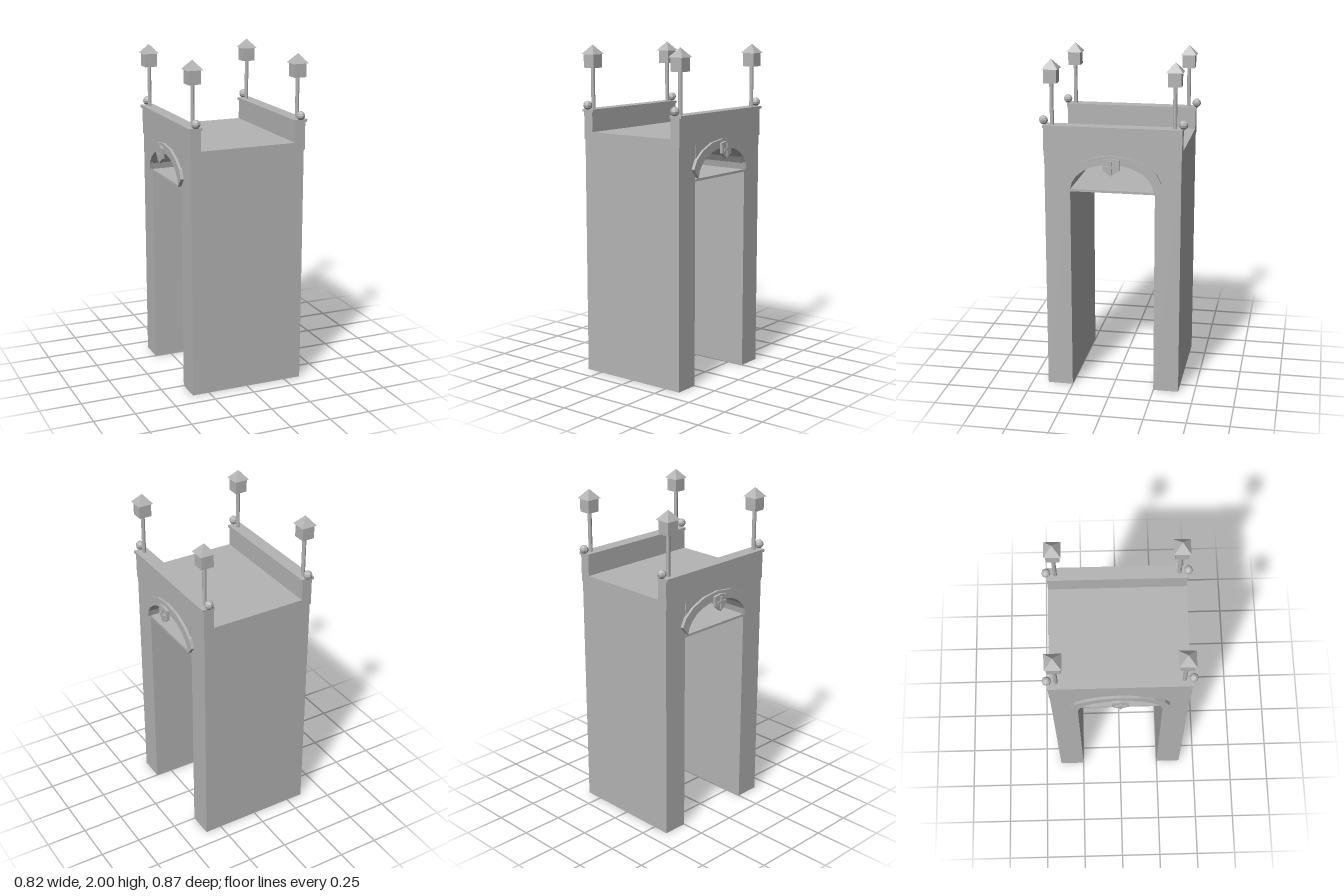
import * as THREE from 'three';

const stone = new THREE.MeshStandardMaterial({ color: 0xb4b4b4, flatShading: true, side: THREE.DoubleSide });
stone.name = 'grey stone';

function add(parent, name, geometry, x = 0, y = 0, z = 0) {
  const mesh = new THREE.Mesh(geometry, stone);
  mesh.name = name;
  mesh.position.set(x, y, z);
  parent.add(mesh);
  return mesh;
}

// Box given by its size and the height of its underside
function addBox(parent, name, w, h, d, x, bottom, z) {
  return add(parent, name, new THREE.BoxGeometry(w, h, d), x, bottom + h / 2, z);
}

// Shape in the (z, y) plane, extruded along x and centred on x = 0
function crossExtrude(points, depth) {
  const shape = new THREE.Shape(points.map(([z, y]) => new THREE.Vector2(z, y)));
  const g = new THREE.ExtrudeGeometry(shape, { depth, bevelEnabled: false });
  g.translate(0, 0, -depth / 2);
  return g.rotateY(Math.PI / 2);
}

// Half-ellipse points running from +z to -z
function arc(a, b, y0, start, n) {
  return Array.from({ length: n + 1 }, (_, i) => {
    const t = start + (Math.PI - 2 * start) * i / n;
    return [a * Math.cos(t), y0 + b * Math.sin(t)];
  });
}

function lamp(x, z) {
  const g = new THREE.Group();
  g.name = 'lampPost';
  add(g, 'post', new THREE.CylinderGeometry(0.012, 0.012, 0.25, 8), 0, 1.743, 0);
  addBox(g, 'lantern', 0.076, 0.082, 0.076, 0, 1.864, 0);
  const roof = new THREE.ConeGeometry(0.048 * Math.SQRT2, 0.056, 4).rotateY(Math.PI / 4);
  add(g, 'lanternRoof', roof, 0, 1.972, 0);
  g.position.set(x, 0, z);
  return g;
}

export function createModel() {
  const model = new THREE.Group();
  model.name = 'gateway';

  // Hollow legs, open underneath
  for (const s of [1, -1]) {
    const g = new THREE.BoxGeometry(0.708, 1.44, 0.152);
    const index = Array.from(g.index.array);
    index.splice(18, 6);
    g.setIndex(index);
    g.clearGroups();
    add(model, 'leg', g, 0, 0.72, s * 0.326);
  }

  // Deck block with the vault cut out below
  const vault = arc(0.25, 0.165, 1.24, 0, 12);
  const body = [[0.405, 1.44], [0.405, 1.485], [-0.405, 1.485], [-0.405, 1.44], [-0.25, 1.44],
    ...vault.slice().reverse(), [0.25, 1.44]];
  add(model, 'archedDeck', crossExtrude(body, 0.718));

  // Ceiling plate at the foot of the vault
  addBox(model, 'ceilingPlate', 0.708, 0.014, 0.5, 0, 1.23, 0);

  const trim = [...arc(0.245, 0.16, 1.245, 0.03, 12), [-0.287, 1.304], [-0.26, 1.357], [-0.2, 1.405],
    [-0.11, 1.443], [0, 1.457], [0.11, 1.443], [0.2, 1.405], [0.26, 1.357], [0.287, 1.304]];
  const shield = [[-0.049, 1.437], [0, 1.445], [0.049, 1.437], [0.047, 1.375], [0, 1.34], [-0.047, 1.375]];

  for (const s of [1, -1]) {
    // Parapet wall and coping
    addBox(model, 'parapet', 0.064, 0.125, 0.81, s * 0.327, 1.48, 0);
    addBox(model, 'coping', 0.082, 0.016, 0.815, s * 0.329, 1.604, 0);

    // Arch moulding with a shield and raised cross
    add(model, 'archMoulding', crossExtrude(trim, 0.02), s * 0.365);
    add(model, 'shield', crossExtrude(shield, 0.016), s * 0.392);
    addBox(model, 'crossUpright', 0.009, 0.075, 0.014, s * 0.404, 1.356, 0);
    addBox(model, 'crossBar', 0.009, 0.014, 0.064, s * 0.404, 1.39, 0);

    // Lamp posts and end balls
    for (const e of [1, -1]) {
      model.add(lamp(s * 0.327, e * 0.358));
      add(model, 'endBall', new THREE.SphereGeometry(0.027, 8, 6), s * 0.327, 1.644, e * 0.408);
    }
  }
  return model;
}
